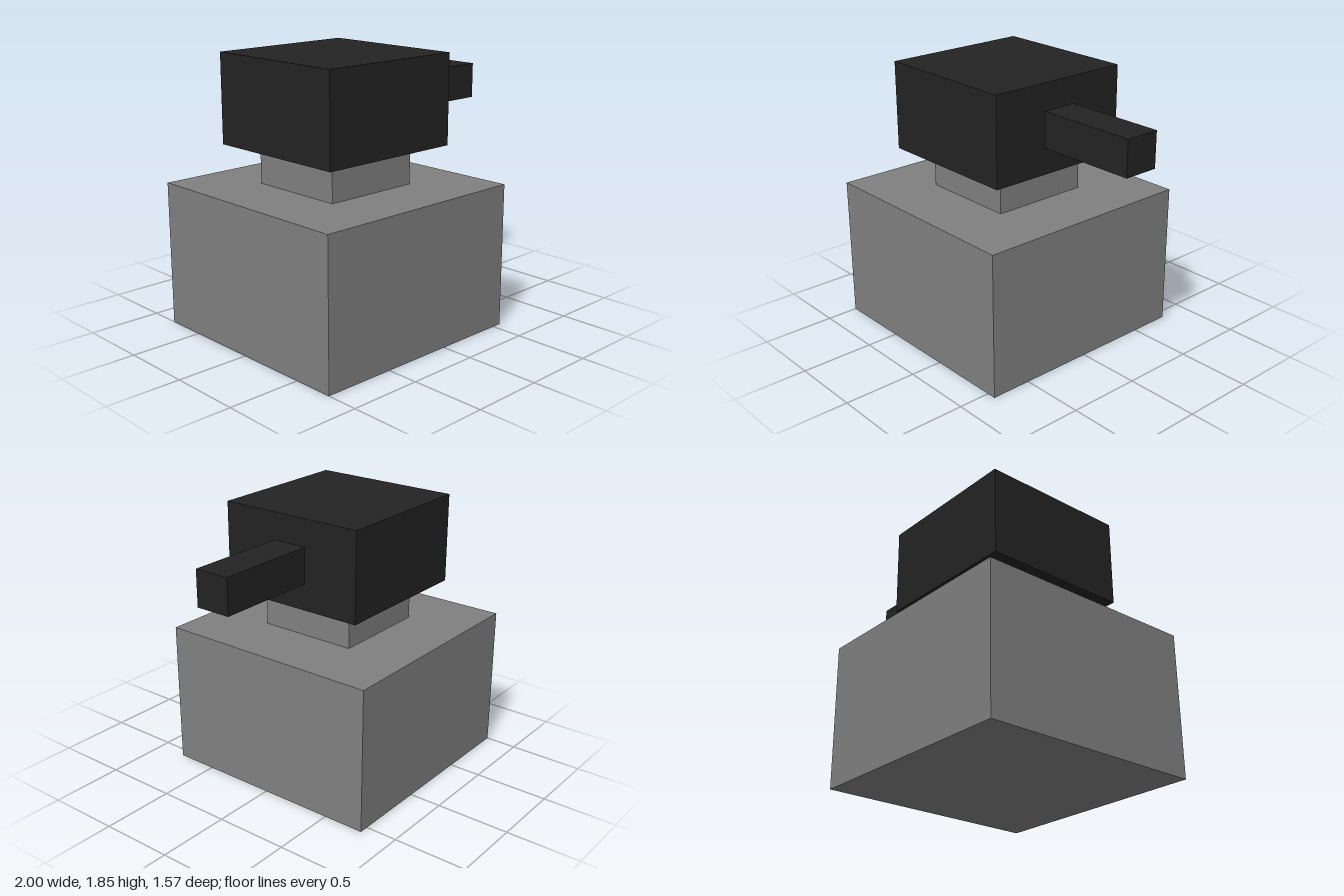
import * as THREE from 'three';

const grey = new THREE.MeshStandardMaterial({ color: 0x808080 });
grey.name = 'stone grey';
const black = new THREE.MeshStandardMaterial({ color: 0x232323 });
black.name = 'charcoal black';

// Box spanning x0..x1 and y0..y1, centred on z = 0
function block(name, material, x0, x1, y0, y1, depth) {
  const geometry = new THREE.BoxGeometry(x1 - x0, y1 - y0, depth);
  const mesh = new THREE.Mesh(geometry, material);
  mesh.name = name;
  mesh.position.set((x0 + x1) / 2, (y0 + y1) / 2, 0);
  return mesh;
}

export function createModel() {
  const turret = new THREE.Group();
  turret.name = 'turret';

  // Fixed pedestal
  turret.add(block('base', grey, -1, 0.564, 0, 0.982, 1.566));
  turret.add(block('neck', grey, -0.563, 0.124, 0.982, 1.243, 0.69));

  // Swivelling head with its barrel pointing to +x
  const head = new THREE.Group();
  head.name = 'head';
  head.add(block('housing', black, -0.735, 0.296, 1.243, 1.847, 1.034));
  head.add(block('barrel', black, 0.296, 1, 1.422, 1.664, 0.244));
  turret.add(head);

  return turret;
}
